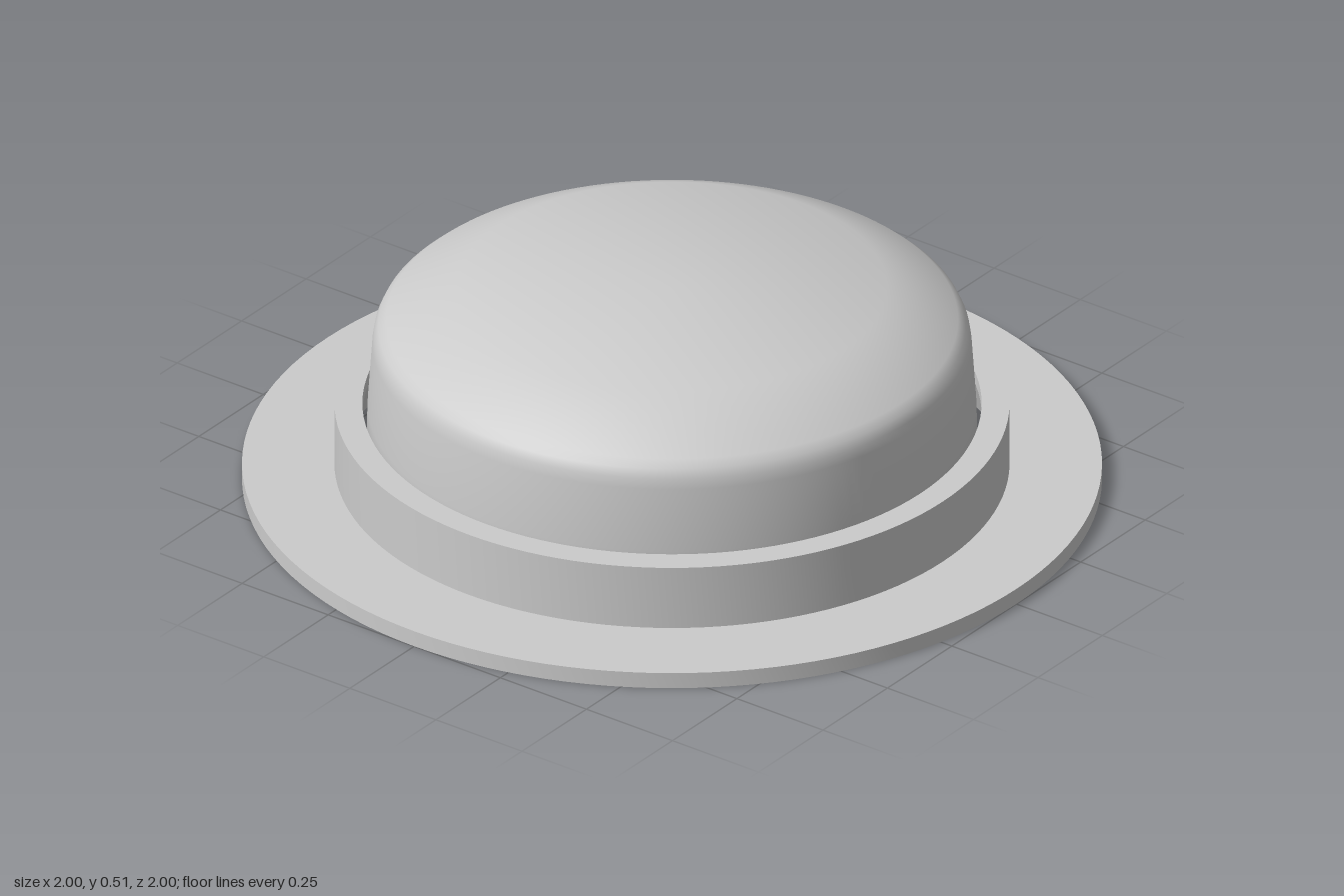
import * as THREE from 'three';
import { toCreasedNormals } from 'three/addons/utils/BufferGeometryUtils.js';

const SEGMENTS = 128;

// Revolve a profile of [radius, height] pairs, keeping sharp edges sharp
function turned(name, profile, crease) {
  const points = profile.map(([r, y]) => new THREE.Vector2(r, y));
  const geometry = toCreasedNormals(new THREE.LatheGeometry(points, SEGMENTS), crease);
  const material = new THREE.MeshStandardMaterial({ color: 0xcccccc, side: THREE.DoubleSide });
  const mesh = new THREE.Mesh(geometry, material);
  mesh.name = name;
  return mesh;
}

export function createModel() {
  const group = new THREE.Group();
  group.name = 'domedButton';

  // Wide flange with the raised collar, open through the middle
  group.add(turned('flangeAndCollar', [
    [0.72, 0.2], [0.72, 0.17], [0.785, 0.0],
    [0.895, 0.0], [1.0, 0.0], [1.0, 0.04],
    [0.785, 0.04], [0.785, 0.2], [0.72, 0.2],
  ], 0.35));

  // Cap: shallow recess underneath, rounded lip, tapered side, sloped shoulder, flat top
  group.add(turned('cap', [
    [0, 0.13], [0.49, 0.13], [0.54, 0.122], [0.58, 0.1], [0.61, 0.075],
    [0.64, 0.063], [0.67, 0.06], [0.7, 0.063], [0.711, 0.075],
    [0.708, 0.2], [0.697, 0.36], [0.693, 0.385], [0.683, 0.407], [0.665, 0.423],
    [0.5, 0.51], [0, 0.51],
  ], 1.0));

  return group;
}
